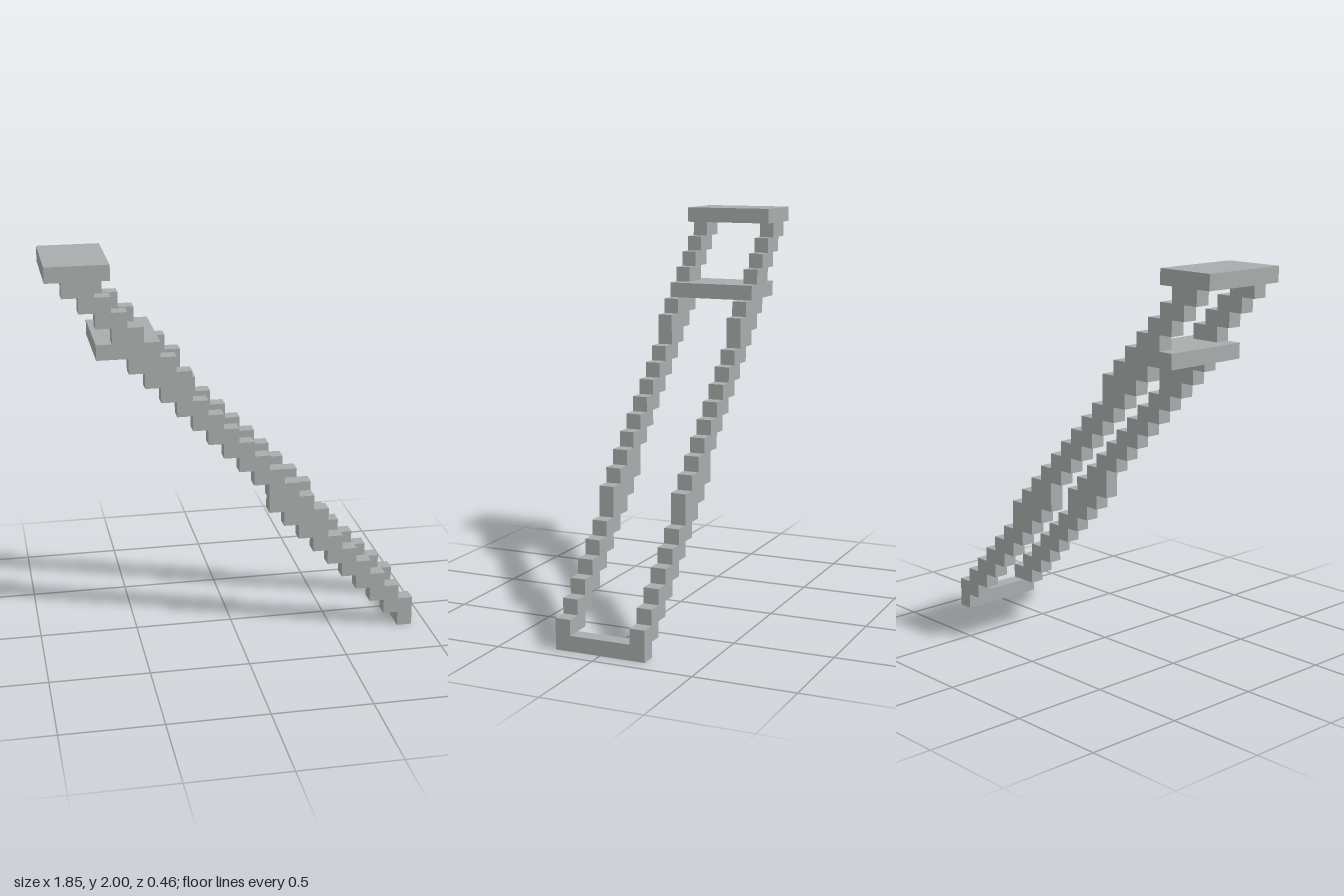
import * as THREE from 'three';

const U = 2 / 26; // one block; the model is 24 x 26 x 6 blocks

// Stepped outline of one rail, in blocks
function railShape() {
  const bottom = (i) => (i < 4 ? 25 : i < 14 ? 24 : 23) - i;
  const top = (i) => Math.min(25, (i < 9 ? 27 : i < 18 ? 26 : 25) - i);
  const pts = [];
  const add = (x, y) => {
    const last = pts[pts.length - 1];
    if (!last || last.x !== x || last.y !== y) pts.push(new THREE.Vector2(x, y));
  };
  for (let i = 1; i < 24; i++) {
    // end of the lower landing, sticking out behind the rail
    if (i === 4) [[4, 21], [3, 21], [3, 20]].forEach(([x, y]) => add(x, y));
    add(i, bottom(i));
    add(i + 1, bottom(i));
  }
  for (let i = 23; i > 0; i--) {
    add(i + 1, top(i));
    add(i, top(i));
  }
  return new THREE.Shape(pts);
}

export function createModel() {
  const group = new THREE.Group();
  const grey = new THREE.MeshStandardMaterial({ color: 0xa9acac });
  grey.name = 'grey';

  const add = (name, geometry) => {
    geometry.scale(U, U, U);
    const mesh = new THREE.Mesh(geometry, grey);
    mesh.name = name;
    group.add(mesh);
  };
  const block = (name, x0, x1, y, depth) =>
    add(name, new THREE.BoxGeometry(x1 - x0, 1, depth).translate((x0 + x1) / 2 - 12, y + 0.5, 0));

  // Two matching stepped rails
  for (const [name, z] of [['frontRail', 2], ['backRail', -3]]) {
    const rail = new THREE.ExtrudeGeometry(railShape(), { depth: 1, bevelEnabled: false });
    add(name, rail.translate(-12, 0, z));
  }

  // Flat plates and the bar joining the rails
  block('topPlatform', 0, 4, 25, 6);
  block('lowerLanding', 3, 7, 20, 4);
  block('footBar', 23, 24, 0, 4);

  return group;
}
